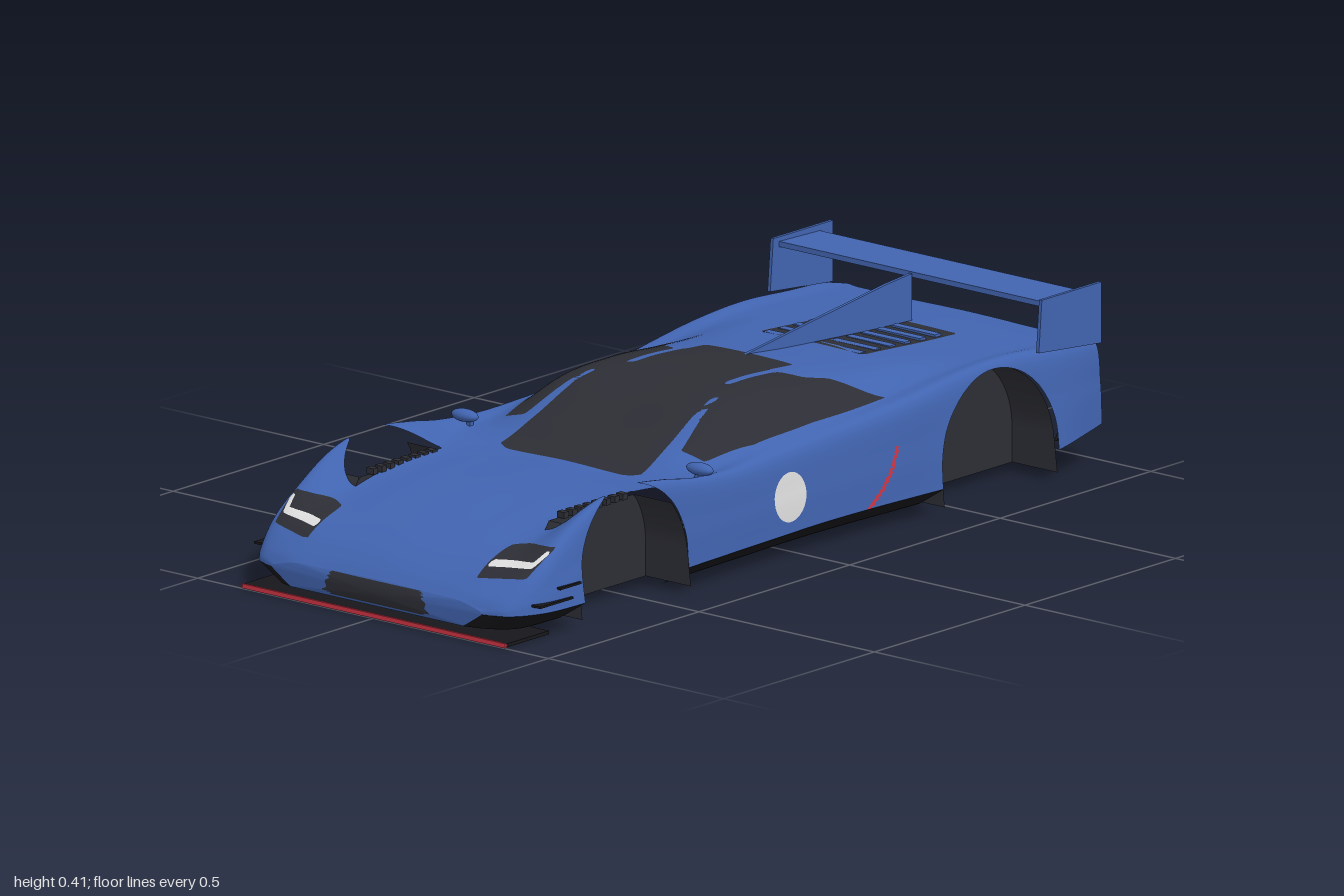
import * as THREE from 'three';

const mat = (name, color, side = THREE.FrontSide) => new THREE.MeshStandardMaterial({ name, color, side });
const M = {
  blue: mat('blue paint', 0x4164b0), dark: mat('dark glass', 0x2d2e35, THREE.DoubleSide),
  black: mat('black carbon', 0x17171b), red: mat('red trim', 0xd03444), white: mat('white', 0xdedede),
};
const V = (x, y, z) => new THREE.Vector3(x, y, z);
const { min, max, abs, hypot, PI } = Math;

// Body stations: z, sill half width, fender crest height, valley height, centre height
const STATIONS = [
  [.988, .30, .07, .08, .085], [.965, .355, .085, .098, .107], [.90, .395, .135, .145, .15],
  [.80, .408, .205, .18, .185], [.70, .405, .255, .205, .208], [.59, .40, .275, .22, .22],
  [.46, .395, .262, .222, .22], [.36, .39, .245, .225, .22], [.24, .385, .235, .232, .265],
  [.10, .38, .235, .255, .322], [-.05, .375, .24, .26, .34], [-.22, .38, .255, .268, .335],
  [-.36, .39, .272, .278, .322], [-.50, .40, .29, .29, .312], [-.65, .40, .298, .296, .302],
  [-.80, .405, .29, .288, .294], [-.92, .39, .282, .283, .285], [-.978, .38, .27, .272, .274],
];
const sillHeight = z => .06 + max(0, -.7 - z) * .11;

// Full-width control lines of one station, right sill over the roof to left sill
function upperLine([z, w, yCrest, yValley, yTop]) {
  const xCrest = min(.368, w - .02), ySill = sillHeight(z);
  const xValley = z > .4 ? min(.28, xCrest - .045) : .315;
  const xRoof = min(.225, max(.15, .25 - z * .2));
  const yRoof = yTop - .003 - .015 * Math.exp(-(((z + .2) / .25) ** 2));
  const half = [V(w, ySill, z), V((w + xCrest) / 2 + .006, (ySill + yCrest) / 2, z),
    V(xCrest, yCrest, z), V(xValley, yValley, z), V(xRoof, yRoof, z)];
  return [...half, V(0, yTop, z), ...half.map(p => V(-p.x, p.y, z)).reverse()];
}
// Floor rises towards the nose tip and along the rear diffuser
function floorLine([z, w]) {
  const y = .014 + max(0, z - .9) * .12 + max(0, -z - .4) ** 2 * .14;
  return [V(-w, sillHeight(z), z), V(-.82 * w, y, z), V(.82 * w, y, z), V(w, sillHeight(z), z)];
}
function loft(line, across, curved) {
  const lines = STATIONS.map(line), n = (lines.length - 1) * 13;
  const rails = lines[0].map((_, j) => new THREE.CatmullRomCurve3(lines.map(l => l[j])).getPoints(n));
  return rails[0].map((_, i) => {
    const pts = rails.map(r => r[i]);
    if (curved) return new THREE.CatmullRomCurve3(pts).getPoints(across);
    return Array.from({ length: across + 1 }, (_, k) => {
      const t = k / across * (pts.length - 1), s = min(Math.floor(t), pts.length - 2);
      return pts[s].clone().lerp(pts[s + 1], t - s);
    });
  });
}

// Cut a convex polygon by the sign of f
function split(poly, f) {
  const d = poly.map(f), inside = [], outside = [];
  poly.forEach((p, i) => {
    const k = (i + 1) % poly.length;
    (d[i] >= 0 ? inside : outside).push(p);
    if ((d[i] >= 0) !== (d[k] >= 0)) {
      const t = d[i] / (d[i] - d[k]), c = p.map((a, m) => a + (poly[k][m] - a) * t);
      inside.push(c); outside.push(c);
    }
  });
  return [inside, outside];
}
// Smooth surface from rows of points; regions recolour it, or open it when they have no material
function surface(name, rows, base, regions = []) {
  const n = rows[0].length, idx = [];
  for (let i = 0; i < rows.length - 1; i++) for (let j = 0; j < n - 1; j++) {
    const a = i * n + j, b = a + n;
    idx.push(a, b, a + 1, b, b + 1, a + 1);
  }
  const grid = new THREE.BufferGeometry().setFromPoints(rows.flat());
  grid.setIndex(idx); grid.computeVertexNormals();
  const P = grid.attributes.position, N = grid.attributes.normal, bins = new Map();
  const vert = i => [P.getX(i), P.getY(i), P.getZ(i), N.getX(i), N.getY(i), N.getZ(i)];
  const put = (poly, m) => {
    if (!m) return;
    if (!bins.has(m)) bins.set(m, []);
    for (let i = 1; i < poly.length - 1; i++) bins.get(m).push(poly[0], poly[i], poly[i + 1]);
  };
  for (let t = 0; t < idx.length; t += 3) {
    let rest = [[vert(idx[t]), vert(idx[t + 1]), vert(idx[t + 2])]];
    for (const [f, m] of regions) rest = rest.flatMap(poly => {
      const [i, o] = split(poly, f);
      if (i.length > 2) put(i, m);
      return o.length > 2 ? [o] : [];
    });
    rest.forEach(p => put(p, base));
  }
  const geo = new THREE.BufferGeometry(), all = [...bins.values()].flat();
  geo.setAttribute('position', new THREE.Float32BufferAttribute(all.flatMap(v => v.slice(0, 3)), 3));
  geo.setAttribute('normal', new THREE.Float32BufferAttribute(all.flatMap(v => v.slice(3)), 3));
  let start = 0;
  [...bins.values()].forEach((b, k) => { geo.addGroup(start, b.length, k); start += b.length; });
  const mesh = new THREE.Mesh(geo, [...bins.keys()]);
  mesh.name = name;
  return mesh;
}

// Signed distances, positive inside
function segDist(u, v, [a, b], [c, d]) {
  const t = min(1, max(0, ((u - a) * (c - a) + (v - b) * (d - b)) / ((c - a) ** 2 + (d - b) ** 2)));
  return hypot(u - a - t * (c - a), v - b - t * (d - b));
}
const stroke = (pts, r) => (u, v) => r - min(...pts.slice(1).map((p, i) => segDist(u, v, pts[i], p)));
const area = pts => (u, v) => {
  let d = 9, inside = false;
  pts.forEach((p, i) => {
    const q = pts[(i + 1) % pts.length];
    d = min(d, segDist(u, v, p, q));
    if ((p[1] > v) !== (q[1] > v) && u < (q[0] - p[0]) * (v - p[1]) / (q[1] - p[1]) + p[0]) inside = !inside;
  });
  return inside ? d : -d;
};

const WHEELS = [{ name: 'front', z: .59, y: .10, r: .18, top: .212 }, { name: 'rear', z: -.62, y: .10, r: .187, top: .3 }];
const arch = w => ([x, y, z]) => min(abs(x) - .27, w.r - (y > w.y ? hypot(z - w.z, y - w.y) : abs(z - w.z)));
const windscreen = area([[-.1, .36], [.17, .36], [.2, .345], [.175, .10], [.15, 0], [.125, -.02], [.125, -.25], [-.1, -.25]]);
const sideWindow = area([[.18, .06], [.225, .24], [.285, .23], [.312, .1], [.31, -.1], [.32, -.33], [.22, -.25], [.2, -.2], [.146, -.17], [.146, .06]]);
const lamp = area([[.371, .19], [.358, .133], [.242, .122], [.24, .172], [.34, .188]]);
const lampBar = stroke([[.362, .177], [.352, .156], [.25, .148]], .0055);
const grille = area([[-.155, .03], [.155, .03], [.132, .082], [-.132, .082]]);
const slash = stroke([[-.20, .055], [-.25, .095], [-.28, .135], [-.30, .18]], .006);

function createModel() {
  const car = new THREE.Group();
  car.name = 'racing car body';
  const add = (name, geo, m, x = 0, y = 0, z = 0) => {
    const mesh = new THREE.Mesh(geo, m);
    mesh.name = name; mesh.position.set(x, y, z);
    car.add(mesh);
    return mesh;
  };
  const box = (name, m, w, h, d, x, y, z) => add(name, new THREE.BoxGeometry(w, h, d), m, x, y, z);
  // Side-view plate given as z, y points
  const plate = (name, pts, m, x, t = .008) => {
    const g = new THREE.ExtrudeGeometry(new THREE.Shape(pts.map(p => new THREE.Vector2(...p))), { depth: t, bevelEnabled: false });
    return add(name, g.translate(0, 0, -t / 2).rotateY(-PI / 2), m, x);
  };

  // Painted shell and floor, open at the wheel arches
  const open = WHEELS.map(w => [arch(w), null]);
  const nose = [([x, y, z]) => min(z - .93, grille(x, y)), M.dark];
  const upper = loft(upperLine, 120, true), floor = loft(floorLine, 36, false);
  car.add(surface('body shell', upper, M.blue, [...open, nose,
    [([x, y, z]) => min(z - .7, lampBar(abs(x), y)), M.white],
    [([x, y, z]) => min(z - .7, lamp(abs(x), y)), M.dark],
    [([x, y, z]) => min(y - .2, max(windscreen(abs(x), z), sideWindow(abs(x), z))), M.dark],
    [([x, y, z]) => min(y - .2, .147 - abs(x), .157 - abs(z + .612)), M.dark],
    [([x, y, z]) => min(abs(x) - .3, .055 - hypot(z - .05, y - .14)), M.white],
    [([x, y, z]) => min(abs(x) - .3, slash(z, y)), M.red],
  ]));
  car.add(surface('floor', floor, M.black, open));

  // Nose and tail faces
  const cap = (i, bulge, scales) => {
    const ring = [...upper[i], ...floor[i].slice(1)], ym = (upper[i][60].y + floor[i][18].y) / 2;
    return scales.map(s => ring.map(p => V(p.x * s, ym + (p.y - ym) * s, p.z + bulge * (1 - s * s))));
  };
  const steps = [0, .2, .4, .6, .8, .9, 1];
  car.add(surface('nose face', cap(0, .008, steps), M.blue, [nose]));
  car.add(surface('tail face', cap(upper.length - 1, -.01, [...steps].reverse()), M.blue));
  box('tail light strip', M.red, .72, .008, .012, 0, .252, -.98);

  // Wheel wells: inner wall and curved lining
  for (const w of WHEELS) {
    const pts = [[w.z + w.r, .02]];
    for (let k = 0; k <= 40; k++) pts.push([w.z + w.r * Math.cos(k * PI / 40), w.y + w.r * Math.sin(k * PI / 40)]);
    pts.push([w.z - w.r, .02]);
    const wall = new THREE.ShapeGeometry(new THREE.Shape(pts.map(([z, y]) => new THREE.Vector2(z, min(y, w.top))))).rotateY(-PI / 2);
    for (const s of [1, -1]) {
      add(w.name + 'WellWall', wall, M.dark, s * .27);
      const rows = pts.map(([z, y]) => [V(s * .27, y, z), V(s * (.402 - .12 * y), y, z)]);
      car.add(surface(w.name + 'WellLining', rows, M.dark, [[p => p[1] - w.top, null]]));
    }
  }

  // Front splitter with red lip
  box('splitter', M.black, .75, .008, .14, 0, .005, .923);
  box('splitterLip', M.red, .75, .01, .006, 0, .005, .996);

  // Engine cover slats and centre fin
  for (let k = 0; k < 6; k++) for (const s of [1, -1])
    box('engineSlat', M.blue, .125, .008, .02, s * .075, .299 + k * .0022, -.715 + k * .05);
  plate('centreFin', [[-.2, .33], [-.7, .393], [-.785, .4], [-.785, .28], [-.4, .3]], M.blue, 0);

  // Rear wing
  box('rearWing', M.blue, .766, .012, .135, 0, .394, -.857).rotation.x = -.03;

  for (const s of [1, -1]) {
    plate('wingEndplate', [[-.77, .412], [-.968, .412], [-.968, .275], [-.76, .295]], M.blue, s * .383);
    // Corner canards
    box('lowerCanard', M.black, .05, .005, .11, s * .383, .08, .865);
    box('upperCanard', M.black, .045, .005, .07, s * .383, .107, .815);
    // Mirrors on short stalks
    const mirror = add('mirror', new THREE.SphereGeometry(1, 20, 12), M.blue, s * .335, .25, .305);
    mirror.scale.set(.036, .014, .018);
    box('mirrorStalk', M.blue, .01, .03, .012, s * .325, .235, .3);
    // Louvres beside the front wheels
    for (let k = 0; k < 8; k++) box('fenderLouvre', M.dark, .02, .014, .016, s * .272, .217, .49 + k * .028);
  }

  // Diffuser strakes
  for (let k = -3; k <= 3; k++)
    plate('diffuserStrake', [[-.93, .045], [-1, .04], [-1, .095], [-.97, .1]], M.black, k * .096);
  return car;
}

export { createModel };
